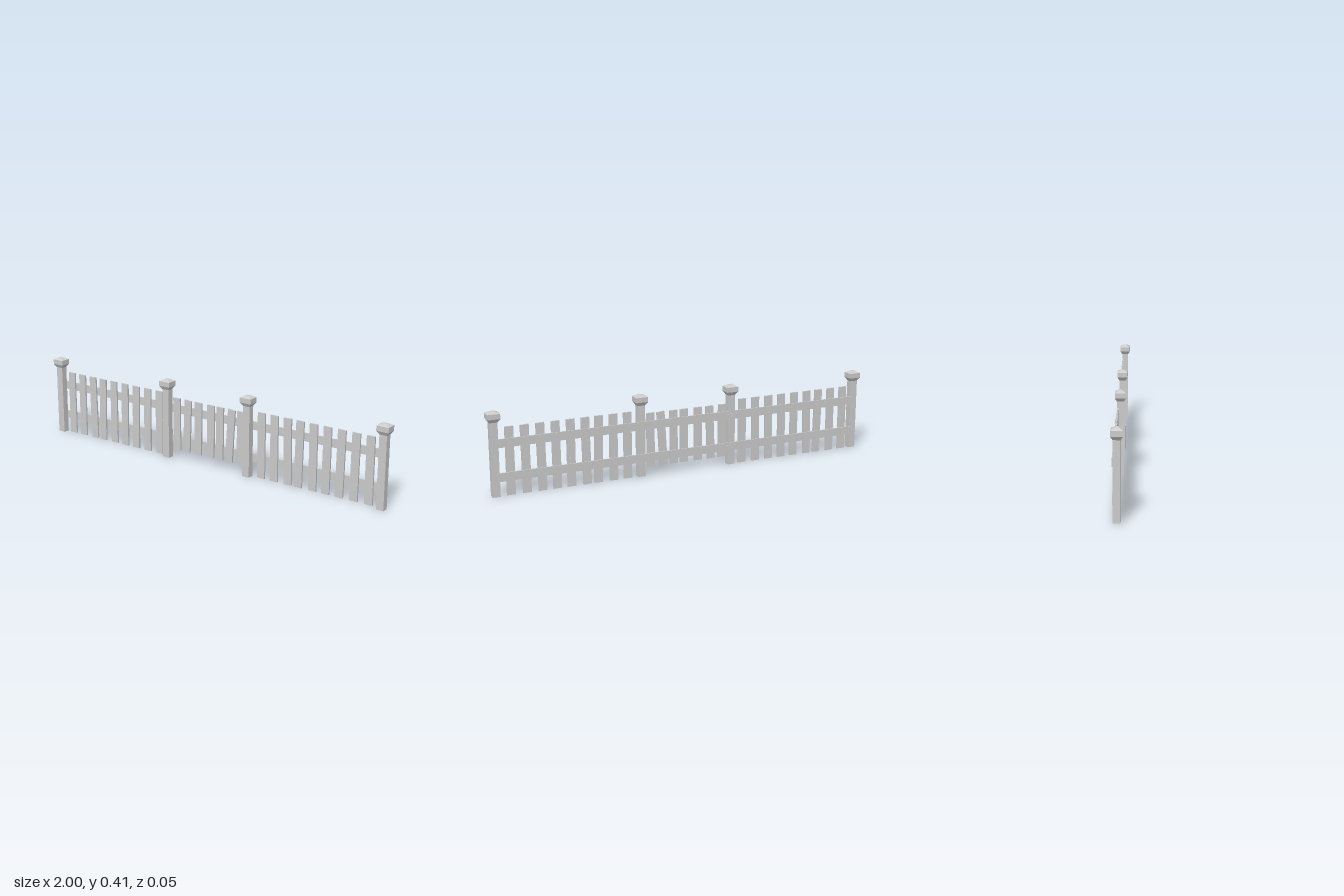
import * as THREE from 'three';

const wood = new THREE.MeshStandardMaterial({ color: 0xcccccc, flatShading: true });

function box(name, x0, x1, y0, y1, z0, z1) {
  const mesh = new THREE.Mesh(new THREE.BoxGeometry(x1 - x0, y1 - y0, z1 - z0), wood);
  mesh.position.set((x0 + x1) / 2, (y0 + y1) / 2, (z0 + z1) / 2);
  mesh.name = name;
  return mesh;
}

// Square section tapering from bottom to top half sizes
function taper(name, y0, y1, bottom, top) {
  const g = new THREE.BoxGeometry(2, y1 - y0, 2);
  const p = g.attributes.position;
  for (let i = 0; i < p.count; i++) {
    const [hx, hz] = p.getY(i) > 0 ? top : bottom;
    p.setX(i, p.getX(i) * hx);
    p.setZ(i, p.getZ(i) * hz);
  }
  g.computeVertexNormals();
  const mesh = new THREE.Mesh(g, wood);
  mesh.position.y = (y0 + y1) / 2;
  mesh.name = name;
  return mesh;
}

// Upright post with a flared, hipped cap
function post(x) {
  const g = new THREE.Group();
  g.name = 'post';
  const shaft = [0.019, 0.0165], wide = [0.031, 0.026];
  g.add(
    taper('postShaft', 0, 0.36, shaft, shaft),
    taper('capFlare', 0.36, 0.377, shaft, wide),
    taper('capBlock', 0.377, 0.402, wide, wide),
    taper('capTop', 0.402, 0.412, wide, [0.011, 0.009])
  );
  g.position.set(x, 0, 0.0015);
  return g;
}

// Board whose lower end may be shifted sideways, so it leans
function picket(topX, bottomX, y0, y1, width) {
  const g = new THREE.BoxGeometry(width, y1 - y0, 0.009);
  const p = g.attributes.position;
  for (let i = 0; i < p.count; i++) {
    const side = Math.sign(p.getX(i));
    const top = p.getY(i) > 0;
    p.setX(i, (top ? topX : bottomX) + side * width / 2);
    // slightly skewed sawn ends
    p.setY(i, p.getY(i) + side * (topX - bottomX) * -0.12);
  }
  g.computeVertexNormals();
  const mesh = new THREE.Mesh(g, wood);
  mesh.position.set(0, (y0 + y1) / 2, -0.0095);
  mesh.name = 'picket';
  return mesh;
}

const railHeights = [0.095, 0.259];

// Pickets given as [top x, bottom x], nailed to two back rails
function panel(name, pickets, y0, y1, width, railStart, railEnd) {
  const g = new THREE.Group();
  g.name = name;
  for (const [t, b] of pickets) g.add(picket(t, b, y0, y1, width));
  for (const y of railHeights) g.add(box('rail', railStart, railEnd, y - 0.021, y + 0.021, -0.0195, -0.014));
  return g;
}

// Strap hinge with a vertical pin
function hinge(x, y) {
  const g = new THREE.Group();
  g.name = 'hinge';
  const pin = new THREE.Mesh(new THREE.CylinderGeometry(0.003, 0.003, 0.02, 8), wood);
  pin.position.z = -0.0215;
  pin.name = 'hingePin';
  g.add(
    pin,
    box('hingeStrap', -0.025, 0.025, -0.006, 0.006, -0.0215, -0.019),
    box('hingePlate', -0.009, 0.009, -0.0095, 0.0095, -0.0225, -0.019)
  );
  g.position.set(x, y, 0);
  return g;
}

export function createModel() {
  const model = new THREE.Group();
  model.name = 'picketFence';

  for (const x of [-0.969, -0.254, 0.234, 0.967]) model.add(post(x));

  // Two equal fence panels
  const fence = [
    [-0.903, -0.903], [-0.83, -0.83], [-0.757, -0.75], [-0.687, -0.694], [-0.614, -0.614],
    [-0.539, -0.543], [-0.464, -0.47], [-0.389, -0.393], [-0.315, -0.315]
  ];
  const left = panel('fencePanel', fence, 0.002, 0.335, 0.042, -0.962, -0.256);
  const right = panel('fencePanel', fence, 0.002, 0.335, 0.042, -0.976, -0.25);
  right.position.x = 1.21;
  model.add(left, right);

  // Gate in the middle with shorter pickets
  const gate = [
    [-0.202, -0.2], [-0.131, -0.142], [-0.068, -0.07], [0.008, 0.007],
    [0.064, 0.061], [0.133, 0.117], [0.187, 0.185]
  ];
  model.add(panel('gate', gate, 0.046, 0.318, 0.041, -0.25, 0.23));
  for (const y of railHeights) model.add(hinge(-0.253, y));

  return model;
}
